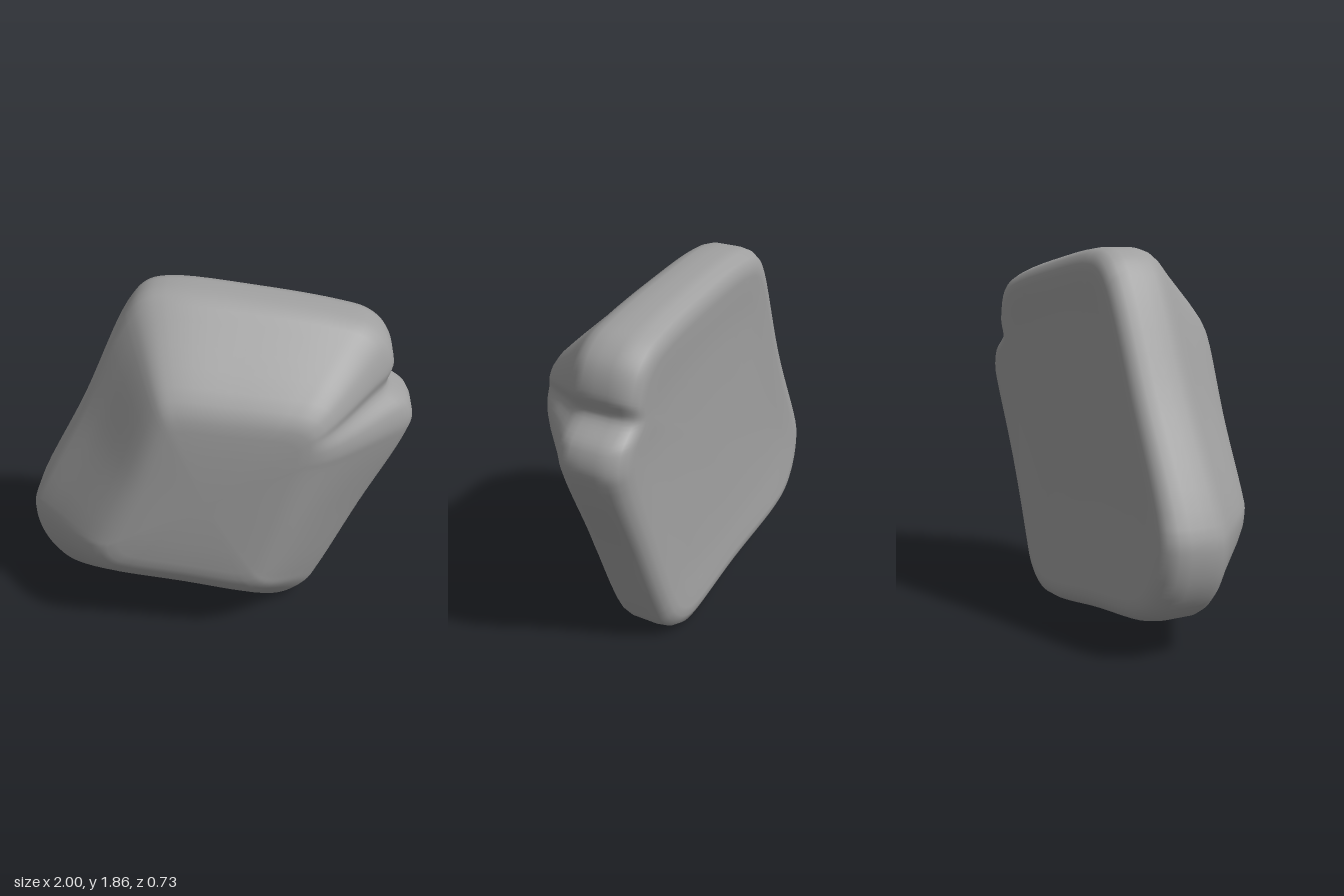
import * as THREE from 'three';
import { mergeVertices } from 'three/addons/utils/BufferGeometryUtils.js';

// Outer silhouette (x, y) paired with the matching point on the front face (x, y)
const OUTLINE = [
  [0.30, 0.00, 0.14, 0.44], [0.42, 0.03, 0.19, 0.44], [0.52, 0.11, 0.23, 0.46],
  [0.58, 0.22, 0.25, 0.51], [0.78, 0.68, 0.36, 0.84], [0.97, 1.09, 0.45, 1.14],
  [1.00, 1.20, 0.47, 1.19], [0.97, 1.30, 0.48, 1.24], [0.86, 1.40, 0.48, 1.29], // corner notch
  [0.88, 1.50, 0.47, 1.32], [0.84, 1.63, 0.44, 1.345], [0.75, 1.71, 0.39, 1.36],
  [0.60, 1.755, 0.32, 1.365], [0.20, 1.82, 0.10, 1.38], [-0.24, 1.86, -0.14, 1.40],
  [-0.36, 1.83, -0.20, 1.39], [-0.45, 1.73, -0.23, 1.35], [-0.70, 1.19, -0.37, 0.98],
  [-0.98, 0.64, -0.51, 0.67], [-1.00, 0.53, -0.53, 0.62], [-0.96, 0.36, -0.52, 0.57],
  [-0.86, 0.22, -0.48, 0.535], [-0.71, 0.15, -0.42, 0.52], [-0.20, 0.07, -0.12, 0.48],
];

// Cross-sections from back to front: inset towards the face, scale about the centre, z, corner sweep
const RINGS = [
  [0.35, 0.00, -0.325, 0], [0.35, 0.35, -0.326, 0.03], [0.35, 0.70, -0.328, 0.03],
  [0.35, 0.90, -0.332, 0.03], [0.27, 1, -0.338, 0.03], [0.17, 1, -0.334, 0.025],
  [0.08, 1, -0.318, 0.02], [0.02, 1, -0.285, 0.01], [0, 1, -0.24, 0],
  [0, 1, -0.17, 0], [0, 1, -0.11, 0], [0.03, 1, -0.065, 0], [0.09, 1, -0.025, 0],
  [0.22, 1, 0.035, 0], [0.38, 1, 0.115, 0], [0.54, 1, 0.195, 0], [0.70, 1, 0.268, 0],
  [0.82, 1, 0.312, 0], [0.92, 1, 0.337, 0], [1, 0.99, 0.349, 0],
  [1, 0.88, 0.357, 0], [1, 0.6, 0.364, 0], [1, 0.3, 0.367, 0], [1, 0, 0.368, 0],
];

const SEGMENTS = 144;
const CENTRE = new THREE.Vector3(-0.02, 0.93, 0);

function closedCurve(offset) {
  const points = OUTLINE.map((p) => new THREE.Vector3(p[offset], p[offset + 1], 0));
  return new THREE.CatmullRomCurve3(points, true, 'centripetal');
}

function loftBody() {
  const outer = closedCurve(0);
  const inner = closedCurve(2);
  const positions = [];
  const indices = [];

  RINGS.forEach(([inset, scale, z, sweep], r) => {
    for (let i = 0; i < SEGMENTS; i++) {
      const u = i / SEGMENTS;
      const p = outer.getPoint(u).lerp(inner.getPoint(u), inset);
      p.sub(CENTRE).multiplyScalar(scale);
      // the back corners sweep backwards, leaving a shallow dish
      const bend = sweep * Math.pow(p.length(), 4);
      p.add(CENTRE);
      positions.push(p.x, p.y, z - bend);

      if (r < RINGS.length - 1) {
        const a = r * SEGMENTS + i;
        const b = r * SEGMENTS + ((i + 1) % SEGMENTS);
        const c = a + SEGMENTS;
        const d = b + SEGMENTS;
        if (r > 0) indices.push(a, b, c);
        if (r < RINGS.length - 2) indices.push(b, d, c);
        else continue;
      }
    }
  });

  let geometry = new THREE.BufferGeometry();
  geometry.setAttribute('position', new THREE.Float32BufferAttribute(positions, 3));
  geometry.setIndex(indices);
  geometry = mergeVertices(geometry, 1e-5);
  geometry.computeVertexNormals();
  return geometry;
}

export function createModel() {
  const stone = new THREE.MeshStandardMaterial({ color: 0xa0a0a0 });
  stone.name = 'stone grey';

  const body = new THREE.Mesh(loftBody(), stone);
  body.name = 'stoneBody';

  const group = new THREE.Group();
  group.name = 'roundedStone';
  group.add(body);
  return group;
}
